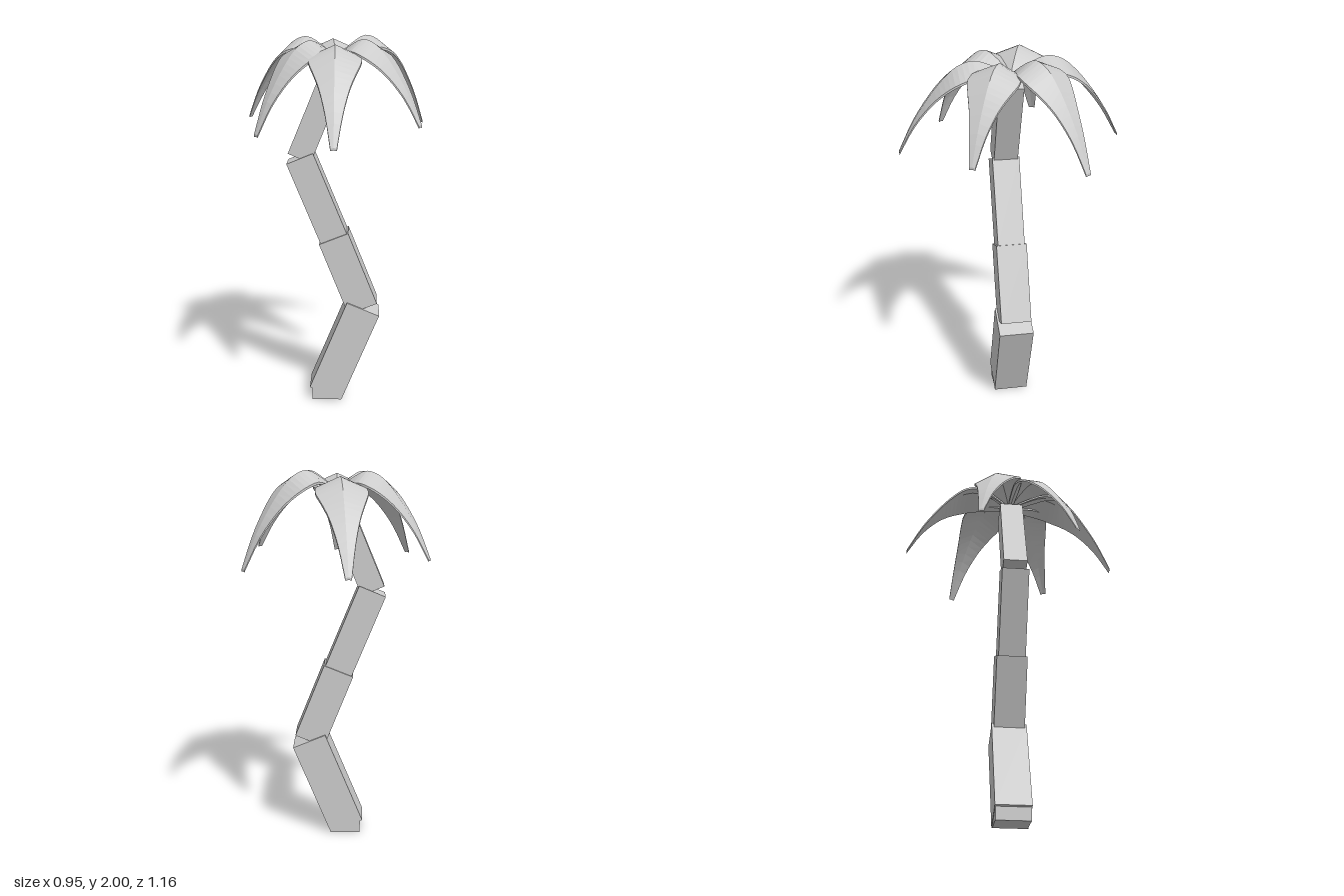
import * as THREE from 'three';

const material = new THREE.MeshStandardMaterial({ color: 0xcccccc, flatShading: true });

// Box running from one point to another in the x-y plane
function trunkSegment(name, [x0, y0], [x1, y1], width, depth) {
  const length = Math.hypot(x1 - x0, y1 - y0);
  const mesh = new THREE.Mesh(new THREE.BoxGeometry(width, length, depth), material);
  mesh.name = name;
  mesh.position.set((x0 + x1) / 2, (y0 + y1) / 2, 0.007);
  mesh.rotation.z = -Math.atan2(x1 - x0, y1 - y0);
  return mesh;
}

// Arched leaf along +z: a thin roof-shaped section swept over a drooping ridge
function frondGeometry(length, peak, tip) {
  const start = 1.89, fall = peak - tip;
  // Half width, ridge height and distance from the crown centre
  const profile = new THREE.CatmullRomCurve3([
    [0.012, start, 0], [0.075, start + (peak - start) * 0.62, 0.17], [0.122, peak - 0.003, 0.33],
    [0.132, peak - fall * 0.06, 0.47], [0.108, peak - fall * 0.19, 0.59], [0.076, peak - fall * 0.37, 0.71],
    [0.043, peak - fall * 0.65, 0.86], [0.016, tip, 1],
  ].map(([w, y, t]) => new THREE.Vector3(w, y, t * length)));

  const steps = 21, thickness = 0.012, positions = [], index = [];
  for (let i = 0; i <= steps; i++) {
    const { x: w, y, z } = profile.getPoint(i / steps);
    const drop = w * (0.56 - 0.35 * z / length);
    // Ring: left edge, ridge, right edge, then the underside back again
    const ring = [[-w, drop], [0, 0], [w, drop], [w, drop + thickness], [0, thickness], [-w, drop + thickness]];
    for (const [x, down] of ring) positions.push(x, y - down, z);
  }
  for (let i = 0; i < steps; i++) {
    for (let j = 0; j < 6; j++) {
      const a = i * 6 + j, b = i * 6 + (j + 1) % 6;
      index.push(a, a + 6, b, b, a + 6, b + 6);
    }
  }
  // End caps
  const e = steps * 6;
  index.push(0, 1, 4, 0, 4, 5, 1, 2, 3, 1, 3, 4);
  index.push(e, e + 4, e + 1, e, e + 5, e + 4, e + 1, e + 3, e + 2, e + 1, e + 4, e + 3);

  const geometry = new THREE.BufferGeometry();
  geometry.setAttribute('position', new THREE.Float32BufferAttribute(positions, 3));
  geometry.setIndex(index);
  geometry.computeVertexNormals();
  return geometry;
}

export function createModel() {
  const group = new THREE.Group();
  group.name = 'palmTree';

  // Zigzag trunk, slimmer towards the top
  const trunk = new THREE.Group();
  trunk.name = 'trunk';
  trunk.add(
    trunkSegment('trunkFoot', [-0.047, 0], [-0.047, 0.07], 0.16, 0.18),
    trunkSegment('trunkLower', [-0.052, 0.038], [0.153, 0.535], 0.19, 0.187),
    trunkSegment('trunkMiddle', [0.15, 0.535], [-0.008, 0.93], 0.168, 0.165),
    trunkSegment('trunkUpper', [-0.006, 0.925], [-0.187, 1.365], 0.152, 0.146),
    trunkSegment('trunkTop', [-0.19, 1.366], [0.013, 1.856], 0.13, 0.129),
  );
  group.add(trunk);

  // Crown of six fronds: tip x, tip z, ridge peak, tip height
  const crown = new THREE.Group();
  crown.name = 'crown';
  const fronds = [
    [-0.065, -0.58, 1.975, 1.525], [0.465, -0.3, 2.0, 1.52], [0.43, 0.258, 1.99, 1.575],
    [0.005, 0.578, 1.97, 1.515], [-0.39, 0.325, 1.985, 1.535], [-0.475, -0.2, 1.995, 1.56],
  ];
  for (const [x, z, peak, tip] of fronds) {
    const frond = new THREE.Mesh(frondGeometry(Math.hypot(x, z), peak, tip), material);
    frond.name = 'frond';
    frond.position.x = 0.003;
    frond.rotation.y = Math.atan2(x, z);
    crown.add(frond);
  }
  group.add(crown);
  return group;
}
